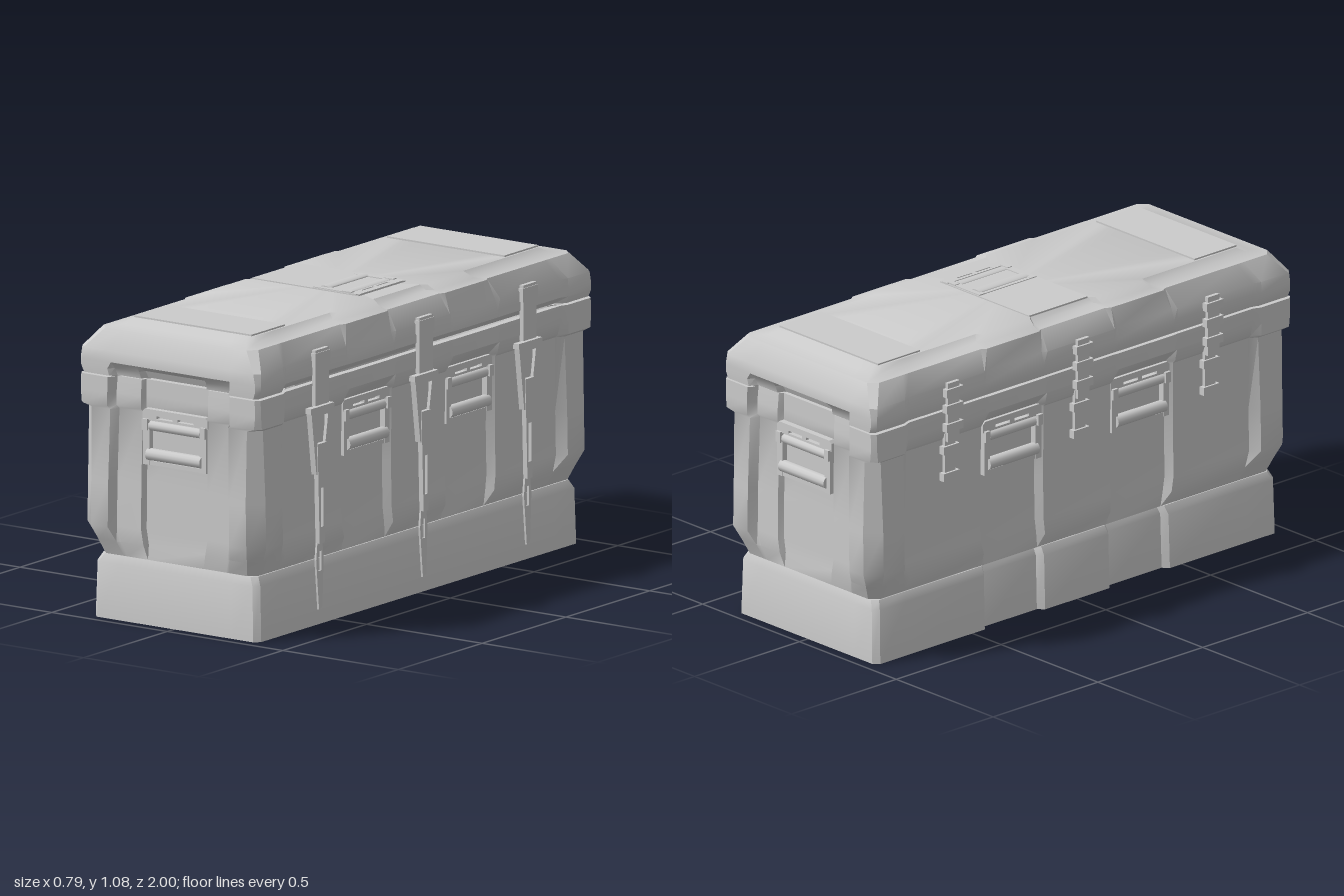
import * as THREE from 'three';
import { toCreasedNormals } from 'three/addons/utils/BufferGeometryUtils.js';

const mat = new THREE.MeshStandardMaterial({ color: 0xcccccc });
const CX = 0.005; // the case sits slightly off-centre because of its hardware

// Stations along a side and an end: [position, level], level 0 corner, 1 pillar, 2 recessed panel
const SIDE = [[0.85, 0], [0.82, 1], [0.46, 1], [0.44, 2], [0.18, 2], [0.16, 1]];
const END = [[0.265, 0], [0.25, 1], [0.145, 1], [0.135, 2]];
const mirrored = list => [...list, ...list.slice().reverse().map(([p, l]) => [-p, l])];

// One horizontal outline: d = recess depths of sides, e = of ends, c = corner chamfer
function ring({ y, hx, hz, d = [0, 0], dr = d, e = [0, 0], c = 0.01 }, inset = 0) {
  const w = hx - inset, l = hz - inset, pts = [];
  const add = (x, z) => pts.push([x + CX, y, z]);
  const fx = w / 0.39, fz = l;
  for (const s of [1, -1]) {
    const depth = [0, ...(s > 0 ? dr : d)], ed = [0, ...e];
    add(s * w, s * (l - c));
    for (const [p, k] of mirrored(SIDE)) add(s * (w - depth[k]), s * p * fz);
    add(s * w, -s * (l - c));
    add(s * (w - c), -s * l);
    for (const [p, k] of mirrored(END)) add(s * p * fx, -s * (l - ed[k]));
    add(-s * (w - c), -s * l);
  }
  return pts;
}

function loft(rings, capped) {
  const pos = [], n = rings[0].length;
  const tri = (a, b, c) => pos.push(...a, ...b, ...c);
  for (let r = 0; r + 1 < rings.length; r++) {
    const a = rings[r], b = rings[r + 1];
    for (let i = 0; i < n; i++) {
      const j = (i + 1) % n;
      tri(a[i], a[j], b[j]);
      tri(a[i], b[j], b[i]);
    }
  }
  if (capped) {
    const lo = rings[0], hi = rings[rings.length - 1];
    for (let i = 0; i < n; i++) {
      const j = (i + 1) % n;
      tri([CX, lo[0][1], 0], lo[j], lo[i]);
      tri([CX, hi[0][1], 0], hi[i], hi[j]);
    }
  }
  const g = new THREE.BufferGeometry();
  g.setAttribute('position', new THREE.Float32BufferAttribute(pos, 3));
  return toCreasedNormals(g, 0.6);
}

// Open-topped, open-bottomed wall with thickness
function shell(sections, t) {
  const outer = sections.map(s => ring(s));
  const inner = sections.map(s => ring(s, t)).reverse();
  return loft([...outer, ...inner, outer[0]]);
}

function part(parent, name, geometry, x = 0, y = 0, z = 0) {
  const m = new THREE.Mesh(geometry, mat);
  m.name = name;
  m.position.set(x, y, z);
  parent.add(m);
  return m;
}
const box = (w, h, d) => new THREE.BoxGeometry(w, h, d);

// Flat plate from an outline and optional holes
function plate(outline, holes, depth) {
  const v = list => list.map(([x, y]) => new THREE.Vector2(x, y));
  const s = new THREE.Shape(v(outline));
  s.holes = holes.map(h => new THREE.Path(v(h)));
  return new THREE.ExtrudeGeometry(s, { depth, bevelEnabled: false });
}
const rect = (x0, y0, x1, y1) => [[x0, y0], [x1, y0], [x1, y1], [x0, y1]];

// Drop handle, facing +z, centred on its own origin
function makeHandle(name) {
  const g = new THREE.Group();
  g.name = name;
  part(g, 'handleTopPlate', plate(
    [[-0.14, 0.06], [0.14, 0.06], [0.14, 0.09], [0.13, 0.1], [-0.13, 0.1], [-0.14, 0.09]],
    [rect(-0.08, 0.068, -0.01, 0.078), rect(0.01, 0.068, 0.08, 0.078)], 0.025));
  part(g, 'handleBacking', box(0.26, 0.2, 0.006), 0, 0, 0.003);
  const roll = part(g, 'handleHinge', new THREE.CylinderGeometry(0.018, 0.018, 0.22, 12), 0, 0.04, 0.015);
  roll.rotation.z = Math.PI / 2;
  for (const s of [-1, 1]) {
    part(g, 'handleArm', plate(
      [[-0.014, -0.1], [0.014, -0.1], [0.014, 0.05], [-0.014, 0.05]], [], 0.028), s * 0.122, 0, 0);
    part(g, 'handlePivot', box(0.022, 0.04, 0.036), s * 0.125, 0.045, 0.018);
  }
  const grip = part(g, 'handleGrip', new THREE.CylinderGeometry(0.022, 0.022, 0.235, 12), 0, -0.062, 0.02);
  grip.rotation.z = Math.PI / 2;
  part(g, 'handleLowerRail', box(0.27, 0.015, 0.025), 0, -0.092, 0.0125);
  return g;
}

// Strap latch, facing +z, with y measured from the ground
function makeLatch() {
  const g = new THREE.Group();
  g.name = 'latch';
  part(g, 'upperStrap', box(0.08, 0.2, 0.016), 0, 0.9, 0.382);
  part(g, 'strapFold', box(0.09, 0.05, 0.02), 0, 0.965, 0.383);
  part(g, 'buckleBar', box(0.14, 0.02, 0.025), 0, 0.785, 0.38);
  part(g, 'buckleFrame', plate(
    [[-0.03, 0.55], [0.03, 0.55], [0.06, 0.78], [-0.06, 0.78]],
    [[[-0.022, 0.65], [0.022, 0.65], [0.04, 0.76], [-0.04, 0.76]]], 0.022), 0, 0, 0.365);
  part(g, 'buckleTongue', box(0.07, 0.1, 0.01), 0, 0.71, 0.37);
  part(g, 'lever', plate(
    [[-0.015, 0.3], [0.015, 0.3], [0.027, 0.66], [-0.027, 0.66]],
    [rect(-0.008, 0.36, 0.008, 0.5)], 0.018), 0, 0, 0.372);
  const tail = part(g, 'strapTail', plate(
    [[-0.005, 0.06], [0.015, 0.07], [0.022, 0.24], [0.014, 0.31], [-0.014, 0.31], [-0.022, 0.24]],
    [rect(-0.008, 0.2, 0.008, 0.27)], 0.008), 0, 0, 0.372);
  tail.material.side = THREE.FrontSide;
  return g;
}

// Segmented hinge strap, facing +z
function makeHinge() {
  const g = new THREE.Group();
  g.name = 'hinge';
  part(g, 'hingeStrap', box(0.055, 0.22, 0.014), 0, 0.875, 0.382);
  part(g, 'hingeLowerStrap', box(0.05, 0.18, 0.014), 0, 0.7, 0.364);
  for (const y of [0.95, 0.89, 0.82]) part(g, 'hingeLink', box(0.08, 0.03, 0.022), 0, y, 0.386);
  for (const y of [0.73, 0.63]) part(g, 'hingeLink', box(0.075, 0.03, 0.022), 0, y, 0.368);
  return g;
}

export function createModel() {
  const model = new THREE.Group();
  model.name = 'storageCase';

  // Plinth: thin open frame, panelled on its left-hand wall only
  const flat = [0, 0], step = [0, 0.022];
  part(model, 'basePlinth', shell([
    { y: 0, hx: 0.358, hz: 0.96, d: step, dr: flat, c: 0.02 },
    { y: 0.2, hx: 0.352, hz: 0.957, d: step, dr: flat, c: 0.02 },
    { y: 0.23, hx: 0.335, hz: 0.945, d: step, dr: flat, c: 0.02 },
  ], 0.025));

  // Body wall with corner bumpers, pillars and recessed panels
  const d = [0.03, 0.055], e = [0.035, 0.055];
  part(model, 'caseBody', shell([
    { y: 0.232, hx: 0.335, hz: 0.95, c: 0.03 },
    { y: 0.285, hx: 0.36, hz: 0.973, d: [0, 0.025], e: [0.008, 0.028], c: 0.04 },
    { y: 0.34, hx: 0.387, hz: 1, d, e, c: 0.05 },
    { y: 0.5, hx: 0.384, hz: 1, d, e, c: 0.05 },
    { y: 0.765, hx: 0.376, hz: 0.995, d: [0.02, 0.045], e, c: 0.04 },
    { y: 0.775, hx: 0.39, hz: 1, d: [0.025, 0.05], e, c: 0.02 },
    { y: 0.82, hx: 0.39, hz: 1, d: [0.015, 0.012], e, c: 0.015 },
    { y: 0.88, hx: 0.388, hz: 1, d: [0.012, 0.01], e: [0.04, 0.055], c: 0.015 },
  ], 0.025));

  // Lid with chamfered shoulders and raised centre
  part(model, 'lid', loft([
    { y: 0.885, hx: 0.38, hz: 0.998, d: [0.01, 0.01], dr: [0.03, 0.03], e: [0.03, 0.06], c: 0.015 },
    { y: 0.91, hx: 0.39, hz: 1, d: [0.012, 0.01], e: [0.025, 0.05], c: 0.015 },
    { y: 0.935, hx: 0.39, hz: 1, d: [0.012, 0.008], c: 0.015 },
    { y: 0.975, hx: 0.387, hz: 1, d: [0.01, 0.018], c: 0.02 },
    { y: 1.045, hx: 0.335, hz: 0.955, d: [0, -0.012], c: 0.03 },
    { y: 1.052, hx: 0.285, hz: 0.9, d: [0, -0.025], c: 0.02 },
    { y: 1.07, hx: 0.262, hz: 0.865, d: [0, -0.02], c: 0.02 },
  ].map(s => ring(s)), true));

  // Raised end pads and handle panel on the lid
  for (const s of [-1, 1]) part(model, 'lidEndPad', box(0.51, 0.012, 0.2), CX, 1.07, s * 0.755);
  part(model, 'lidPanel', box(0.46, 0.01, 0.28), -0.03, 1.069, -0.005);
  const top = makeHandle('topHandle');
  top.quaternion.setFromRotationMatrix(new THREE.Matrix4().makeBasis(
    new THREE.Vector3(0, 0, 1), new THREE.Vector3(1, 0, 0), new THREE.Vector3(0, 1, 0)));
  top.position.set(0.1, 1.069, -0.005);
  top.scale.z = 0.3;
  model.add(top);

  // Handles on both ends and both sides
  for (const s of [-1, 1]) {
    const end = makeHandle('endHandle');
    end.position.set(0.01, 0.68, s * 0.943);
    end.rotation.y = s > 0 ? 0 : Math.PI;
    model.add(end);
    for (const z of [-0.305, 0.305]) {
      const side = makeHandle('sideHandle');
      side.position.set(CX + s * 0.327, 0.675, z);
      side.rotation.y = s * Math.PI / 2;
      model.add(side);
    }
  }

  // Latches on one side, hinges on the other
  for (const z of [-0.62, 0, 0.62]) {
    const latch = makeLatch();
    latch.rotation.y = Math.PI / 2;
    latch.position.set(CX, 0, z);
    const hinge = makeHinge();
    hinge.rotation.y = -Math.PI / 2;
    hinge.position.set(CX - 0.002, 0, z);
    model.add(latch, hinge);
  }
  return model;
}
